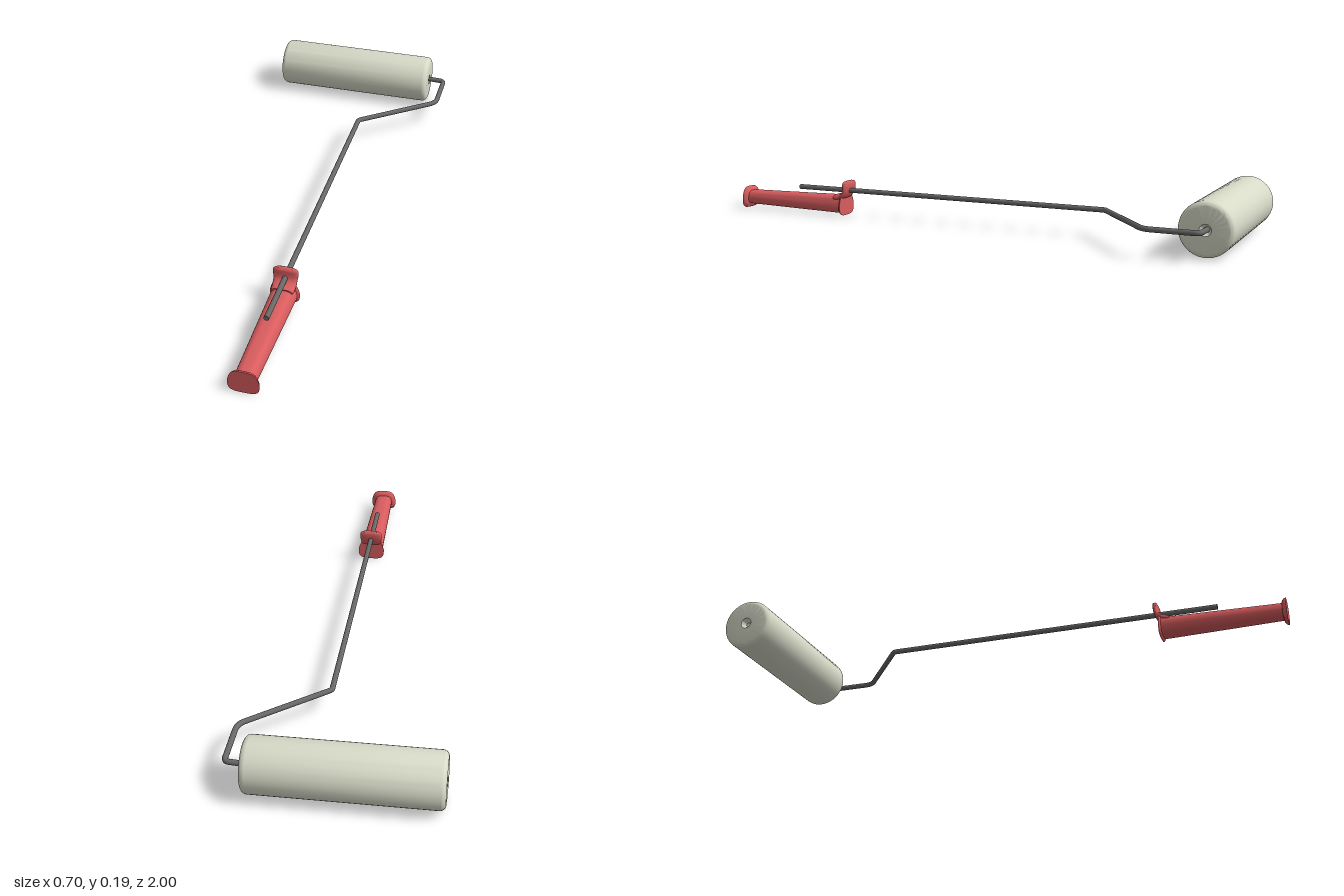
import * as THREE from 'three';
import { toCreasedNormals } from 'three/addons/utils/BufferGeometryUtils.js';

const AXIS_X = 0.065; // handle and shaft line
const ROD_Y = 0.099;

// Skin over rounded-rectangle rings [z, y, half width, half height, tilt], with closed ends
function loft(rings, power, taper, n = 40) {
  const pos = [], idx = [];
  for (const [z, y, w, h, a] of rings) {
    for (let j = 0; j < n; j++) {
      const t = (j / n) * Math.PI * 2;
      const c = Math.cos(t), s = Math.sin(t);
      const u = Math.sign(c) * Math.abs(c) ** (2 / power);
      const v = Math.sign(s) * Math.abs(s) ** (2 / power);
      pos.push(AXIS_X + u * w * (1 - taper * Math.max(0, v)), y + v * h * Math.cos(a), z + v * h * Math.sin(a));
    }
  }
  const last = rings.length - 1;
  for (let i = 0; i < last; i++) {
    for (let j = 0; j < n; j++) {
      const k = (j + 1) % n, a = i * n, b = a + n;
      idx.push(a + j, b + j, a + k, a + k, b + j, b + k);
    }
  }
  const c0 = rings.length * n;
  pos.push(AXIS_X, rings[0][1], rings[0][0], AXIS_X, rings[last][1], rings[last][0]);
  for (let j = 0; j < n; j++) {
    const k = (j + 1) % n;
    idx.push(c0, j, k, c0 + 1, last * n + k, last * n + j);
  }
  const g = new THREE.BufferGeometry();
  g.setAttribute('position', new THREE.Float32BufferAttribute(pos, 3));
  g.setIndex(idx);
  return toCreasedNormals(g, 0.7);
}

export function createModel() {
  const group = new THREE.Group();
  const add = (name, geometry, color) => {
    const mesh = new THREE.Mesh(geometry, new THREE.MeshStandardMaterial({ color }));
    mesh.name = name;
    group.add(mesh);
    return mesh;
  };
  const red = 0xd85c5e, grey = 0x686868, cream = 0xd8dac8;

  // Roller sleeve with rounded rims and a dimple in each end
  const R = 0.093, x0 = -0.353, x1 = 0.278, e = 0.02;
  const profile = [[0, x0 + 0.02], [0.008, x0 + 0.018], [0.02, x0]];
  for (let i = 0; i <= 6; i++) {
    const t = (i / 6) * Math.PI / 2;
    profile.push([R - e + e * Math.sin(t), x0 + e - e * Math.cos(t)]);
  }
  const mirrored = profile.map(([r, x]) => [r, x0 + x1 - x]).reverse();
  const points = [...profile, ...mirrored].map(([r, x]) => new THREE.Vector2(r, x));
  const sleeve = toCreasedNormals(new THREE.LatheGeometry(points, 48), 0.5);
  sleeve.rotateZ(-Math.PI / 2);
  add('rollerSleeve', sleeve, cream).position.set(0, 0.098, -0.907);

  // Bent wire frame: straight runs joined by small rounded corners
  const v = (x, z) => new THREE.Vector3(x, ROD_Y, z);
  const bends = [v(0.24, -0.912), v(0.34, -0.905), v(0.34, -0.72), v(AXIS_X, -0.5), v(AXIS_X, 0.755)];
  const radii = [0, 0.018, 0.03, 0.01, 0];
  const path = new THREE.CurvePath();
  let from = bends[0];
  for (let i = 1; i < bends.length - 1; i++) {
    const p = bends[i];
    const a = p.clone().add(bends[i - 1].clone().sub(p).setLength(radii[i]));
    const b = p.clone().add(bends[i + 1].clone().sub(p).setLength(radii[i]));
    path.add(new THREE.LineCurve3(from, a));
    path.add(new THREE.QuadraticBezierCurve3(a, p, b));
    from = b;
  }
  const end = bends[bends.length - 1];
  path.add(new THREE.LineCurve3(from, end));
  add('wireFrame', new THREE.TubeGeometry(path, 400, 0.0095, 14), grey);
  add('wireEnd', new THREE.CircleGeometry(0.0095, 14), grey).position.copy(end);

  // Grip, with softened ends
  const soft = [];
  for (let i = 0; i <= 5; i++) {
    const t = (i / 5) * Math.PI / 2;
    soft.push([0.016 * (1 - Math.sin(t)), 0.016 * (1 - Math.cos(t))]);
  }
  const gripRing = (z, inset) => [z, 0.045, 0.052 - inset, 0.042 - inset, 0];
  const grip = [
    ...soft.map(([d, s]) => gripRing(0.996 - 0.016 + d, s)).reverse(),
    ...soft.map(([d, s]) => gripRing(0.547 + (0.016 - d) * 0.5, s * 0.5)),
  ];
  // order every ring from the free end towards the shaft
  grip.sort((a, b) => b[0] - a[0]);
  add('grip', loft(grip, 3.6, 0.2), red);

  // Thumb guard: leaves the top of the grip and curls upright around the shaft
  const guard = [
    [0.585, 0.07, 0.036, 0.012, 0],
    [0.565, 0.073, 0.04, 0.012, 0.2],
    [0.549, 0.08, 0.041, 0.011, 0.7],
    [0.54, 0.091, 0.041, 0.009, 1.2],
    [0.536, 0.103, 0.043, 0.009, 1.5],
    [0.535, 0.118, 0.044, 0.01, 1.57],
    [0.535, 0.126, 0.043, 0.01, 1.57],
    [0.535, 0.131, 0.039, 0.009, 1.57],
    [0.535, 0.135, 0.031, 0.007, 1.57],
    [0.535, 0.137, 0.018, 0.003, 1.57],
  ];
  add('thumbGuard', loft(guard, 2.8, 0), red);

  return group;
}
